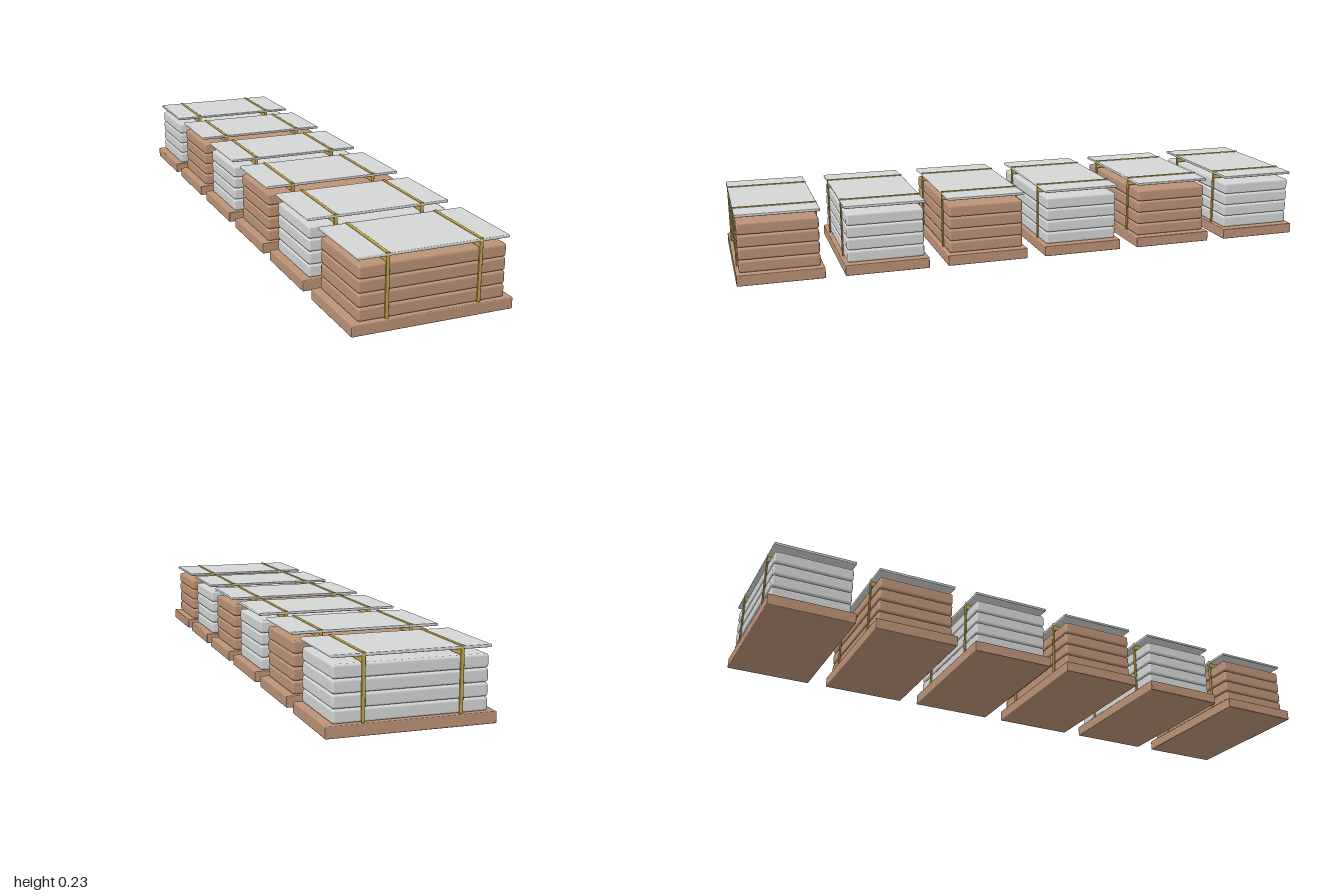
import * as THREE from 'three';
import { RoundedBoxGeometry } from 'three/addons/geometries/RoundedBoxGeometry.js';

const mat = (name, color) => {
  const m = new THREE.MeshStandardMaterial({ color });
  m.name = name;
  return m;
};

export function createModel() {
  const tan = mat('tan', 0xbb9276);
  const grey = mat('light grey', 0xd3d6d5);
  const gold = mat('strap gold', 0xc6a549);

  // Shared softly bevelled pieces
  const baseGeo = new RoundedBoxGeometry(0.515, 0.036, 0.28, 1, 0.003);
  const sackGeo = new RoundedBoxGeometry(0.468, 0.041, 0.258, 1, 0.008);
  const sheetGeo = new RoundedBoxGeometry(0.478, 0.009, 0.268, 1, 0.003);
  const bandGeo = new RoundedBoxGeometry(0.012, 0.196, 0.005, 1, 0.002);
  const topBandGeo = new RoundedBoxGeometry(0.012, 0.028, 0.268, 1, 0.002);

  const model = new THREE.Group();
  model.name = 'palletRow';

  const add = (group, name, geo, material, x, y, z) => {
    const mesh = new THREE.Mesh(geo, material);
    mesh.name = name;
    mesh.position.set(x, y, z);
    group.add(mesh);
  };

  for (let i = 0; i < 6; i++) {
    const stack = new THREE.Group();
    stack.name = 'palletStack' + (i + 1);
    stack.position.z = 0.86 - i * 0.344;
    model.add(stack);

    add(stack, 'palletBase', baseGeo, tan, 0, 0.018, 0);

    // Four layers of load, alternating colour from stack to stack
    for (let j = 0; j < 4; j++) {
      add(stack, 'loadLayer', sackGeo, i % 2 ? grey : tan, 0, 0.0563 + j * 0.0415, 0);
    }
    add(stack, 'coverSheet', sheetGeo, grey, 0, 0.2245, 0);

    // Two straps, each running over the top and down both long sides
    for (const x of [-0.148, 0.146]) {
      add(stack, 'strapTop', topBandGeo, gold, x, 0.217, 0);
      for (const side of [-1, 1]) {
        add(stack, 'strapSide', bandGeo, gold, x, 0.134, side * 0.1315);
      }
    }
  }
  return model;
}
